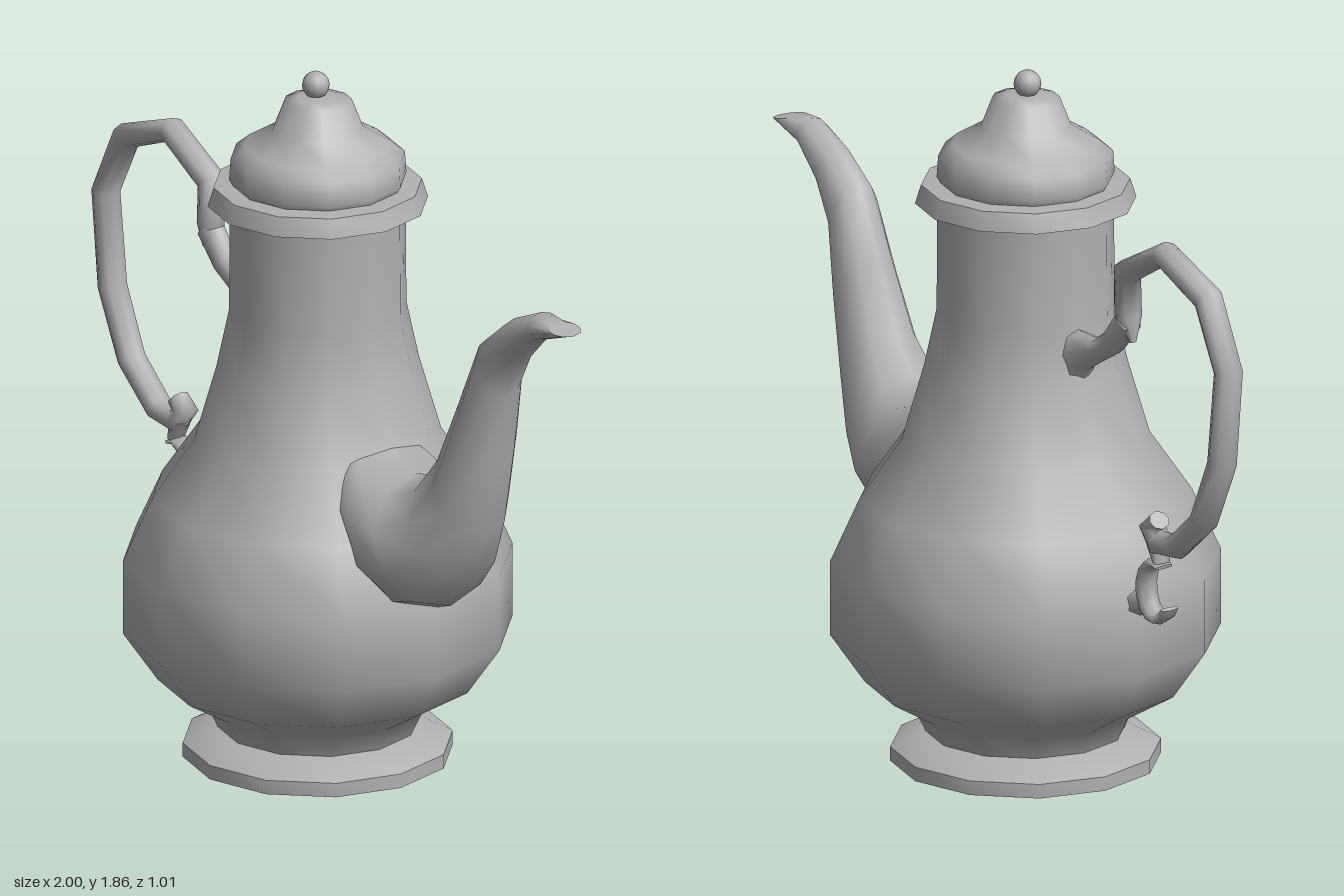
import * as THREE from 'three';
import { toCreasedNormals } from 'three/addons/utils/BufferGeometryUtils.js';

const AXIS_X = -0.078;

// Skin over sections [upperX, upperY, lowerX, lowerY, halfWidthZ], closed at both ends.
function loft(sections, sides) {
  const pos = [], idx = [];
  const ring = ([ux, uy, lx, ly, w]) => {
    for (let j = 0; j < sides; j++) {
      const a = (j / sides) * Math.PI * 2, c = Math.cos(a) / 2;
      pos.push((ux + lx) / 2 + c * (ux - lx), (uy + ly) / 2 + c * (uy - ly), Math.sin(a) * w);
    }
  };
  sections.forEach(ring);
  for (let i = 0; i < sections.length - 1; i++) {
    for (let j = 0; j < sides; j++) {
      const k = (j + 1) % sides, a = i * sides, b = a + sides;
      idx.push(a + j, a + k, b + k, a + j, b + k, b + j);
    }
  }
  // caps with their own vertices, so the rims stay crisp
  [[sections[0], true], [sections[sections.length - 1], false]].forEach(([s, start]) => {
    const base = pos.length / 3;
    ring(s);
    pos.push((s[0] + s[2]) / 2, (s[1] + s[3]) / 2, 0);
    for (let j = 0; j < sides; j++) {
      const a = base + j, b = base + (j + 1) % sides;
      idx.push(base + sides, start ? b : a, start ? a : b);
    }
  });
  const g = new THREE.BufferGeometry();
  g.setAttribute('position', new THREE.Float32BufferAttribute(pos, 3));
  g.setIndex(idx);
  g.computeVertexNormals();
  return g;
}

// Tapered tube in the xy plane along points [x, y, radius, halfWidthZ].
function sweep(points, sides = 8) {
  return loft(points.map(([x, y, r, w = r], i) => {
    const p = points[Math.max(i - 1, 0)], q = points[Math.min(i + 1, points.length - 1)];
    const d = Math.hypot(q[0] - p[0], q[1] - p[1]);
    const nx = -(q[1] - p[1]) / d * r, ny = (q[0] - p[0]) / d * r;
    return [x + nx, y + ny, x - nx, y - ny, w];
  }), sides);
}

const lathe = (profile) =>
  new THREE.LatheGeometry(profile.map(([r, y]) => new THREE.Vector2(r, y)), 12);

export function createModel() {
  const group = new THREE.Group();
  const metal = new THREE.MeshStandardMaterial({ color: 0xb0b0b0 });
  metal.name = 'grey metal';

  const add = (name, geometry, x = 0, y = 0) => {
    const mesh = new THREE.Mesh(geometry, metal);
    mesh.name = name;
    mesh.position.set(x, y, 0);
    group.add(mesh);
    return mesh;
  };

  // Turned parts
  add('foot', toCreasedNormals(lathe([
    [0, 0], [0.35, 0], [0.35, 0.038], [0.275, 0.078], [0, 0.08],
  ]), 0.6), AXIS_X);
  add('body', lathe([
    [0.255, 0.07], [0.288, 0.14], [0.415, 0.215], [0.505, 0.345], [0.505, 0.545],
    [0.43, 0.71], [0.32, 0.87], [0.262, 1.07], [0.23, 1.22], [0.228, 1.51],
  ]), AXIS_X);
  add('lidRim', toCreasedNormals(lathe([
    [0.2, 1.502], [0.286, 1.505], [0.27, 1.555], [0.2, 1.56],
  ]), 0.9), AXIS_X);
  add('lid', lathe([
    [0.215, 1.55], [0.23, 1.575], [0.226, 1.632], [0.19, 1.662], [0.118, 1.705],
    [0.088, 1.782], [0.05, 1.793], [0, 1.795],
  ]), AXIS_X);
  add('lidKnob', new THREE.SphereGeometry(0.036, 12, 8), AXIS_X - 0.008, 1.822);

  // Spout, broad at the body and drawn out to a pointed lip
  add('spout', loft([
    [0.12, 0.96, 0.30, 0.50, 0.17],
    [0.22, 0.92, 0.41, 0.535, 0.2],
    [0.33, 0.88, 0.48, 0.56, 0.185],
    [0.42, 0.90, 0.57, 0.66, 0.145],
    [0.495, 1.0, 0.635, 0.80, 0.112],
    [0.57, 1.17, 0.69, 1.02, 0.09],
    [0.65, 1.35, 0.715, 1.20, 0.073],
    [0.745, 1.425, 0.775, 1.31, 0.06],
    [0.86, 1.476, 0.86, 1.4, 0.05],
    [0.92, 1.465, 0.998, 1.45, 0.045],
  ], 10));

  // Handle loop with a curled lower end
  add('handle', sweep([
    [-0.55, 1.245, 0.008], [-0.528, 1.31, 0.036], [-0.525, 1.43, 0.036, 0.04],
    [-0.69, 1.522, 0.032, 0.04], [-0.88, 1.45, 0.035, 0.042], [-0.968, 1.275, 0.032, 0.042],
    [-0.94, 1.02, 0.034, 0.042], [-0.86, 0.845, 0.034, 0.04], [-0.745, 0.745, 0.034, 0.038],
    [-0.665, 0.735, 0.034, 0.036], [-0.635, 0.77, 0.034, 0.036], [-0.665, 0.795, 0.026, 0.03],
  ]));
  add('handleUpperBracket', sweep([
    [-0.27, 1.13, 0.09, 0.06], [-0.325, 1.165, 0.055, 0.045], [-0.4, 1.185, 0.032],
    [-0.465, 1.225, 0.034], [-0.53, 1.3, 0.036],
  ]));

  // Small open scroll tying the handle to the body
  const scroll = [];
  for (let i = 0; i <= 10; i++) {
    const t = i / 10, a = 2.0 - t * 4.6;
    scroll.push([-0.662 + Math.cos(a) * 0.055, 0.605 + Math.sin(a) * 0.075,
      0.006 + 0.018 * Math.sin(t * Math.PI), 0.03]);
  }
  add('handleScroll', sweep(scroll, 6));
  add('scrollNeck', sweep([[-0.655, 0.74, 0.03], [-0.675, 0.68, 0.014, 0.025]], 6));
  add('handleLowerBracket', sweep([[-0.62, 0.57, 0.028], [-0.55, 0.54, 0.038]], 6));

  return group;
}
